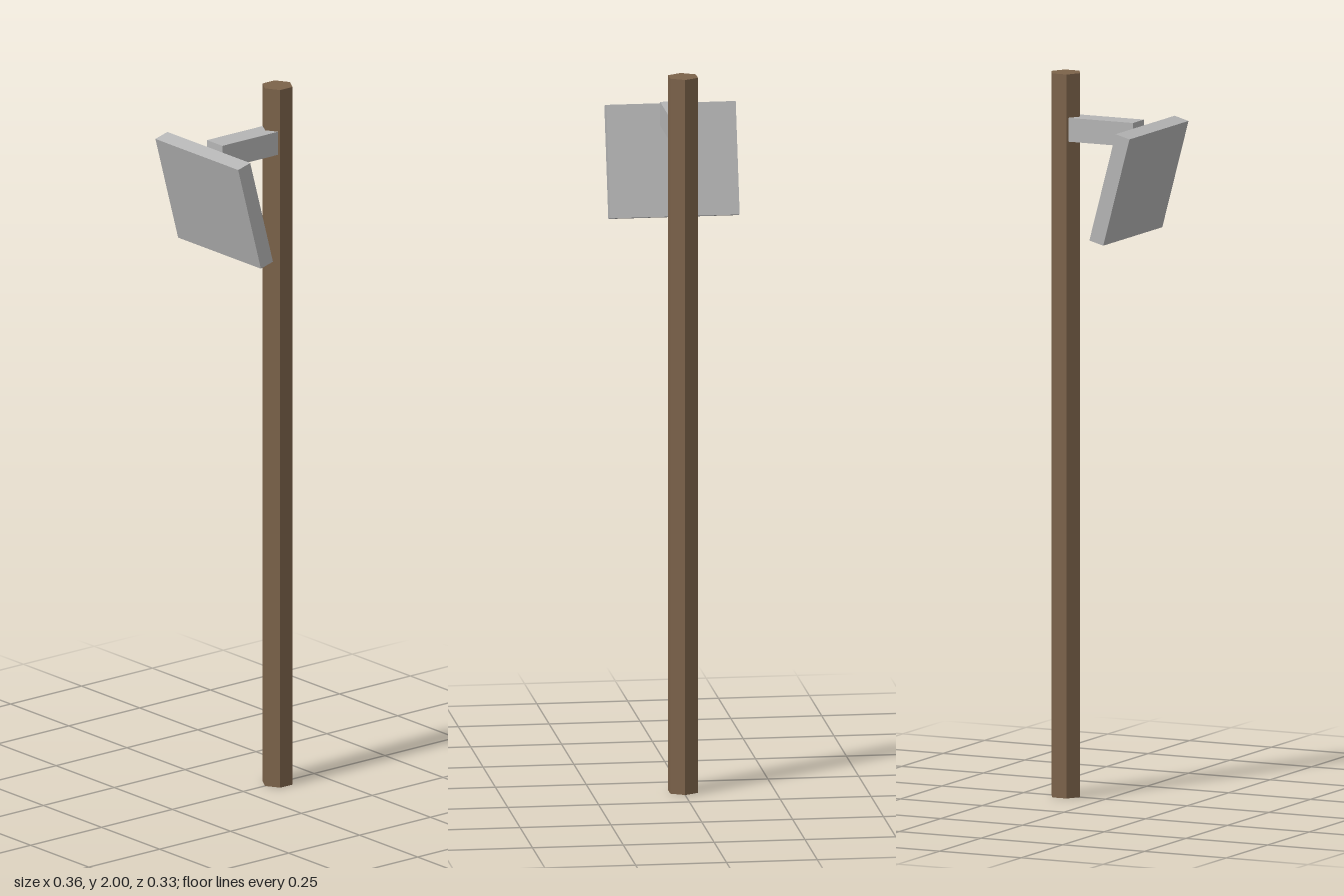
import * as THREE from 'three';

export function createModel() {
  const model = new THREE.Group();
  const wood = new THREE.MeshStandardMaterial({ color: 0x7c634a });
  wood.name = 'brown wood';
  const metal = new THREE.MeshStandardMaterial({ color: 0xb5b5b5 });
  metal.name = 'grey metal';
  wood.flatShading = metal.flatShading = true;

  const add = (name, geometry, material, x, y, z) => {
    const mesh = new THREE.Mesh(geometry, material);
    mesh.name = name;
    mesh.position.set(x, y, z);
    model.add(mesh);
    return mesh;
  };

  // Six-sided post with a ridge facing the front
  add('post', new THREE.CylinderGeometry(0.044, 0.044, 2, 6), wood, 0, 1, -0.121);

  // Bracket arm, its back end sunk into the post
  add('arm', new THREE.BoxGeometry(0.066, 0.066, 0.221), metal, 0, 1.847, -0.0095);

  // Panel hung in front of the arm, top edge leaning forward
  const panel = add('panel', new THREE.BoxGeometry(0.356, 0.31, 0.044), metal, 0, 1.716, 0.1025);
  panel.rotation.x = THREE.MathUtils.degToRad(15);

  return model;
}
